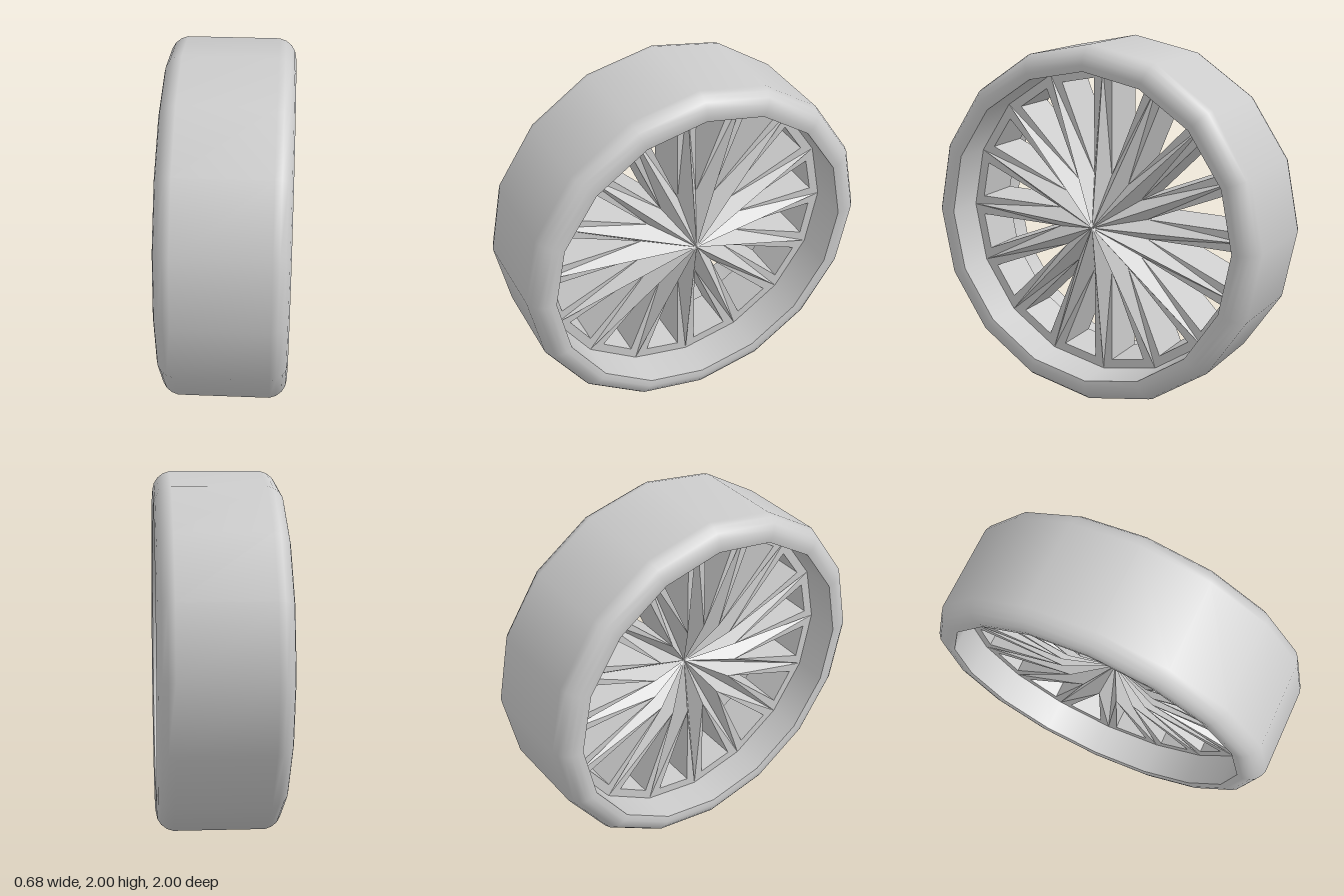
import * as THREE from 'three';

const SIDES = 16, STEP = (Math.PI * 2) / SIDES;
const RIM = 0.865;          // radius where the spokes meet the tyre
const INSET = 0.055;        // half width of a spoke
const OUTER = { x: 0.12, hub: 0.245 };   // raised hub
const INNER = { x: -0.15, hub: -0.045 }; // dished hub

// Turns a [radius, x] profile around the wheel axis
function ring(profile, material, name) {
  const geo = new THREE.LatheGeometry(profile.map(([r, x]) => new THREE.Vector2(r, x)), SIDES);
  geo.rotateZ(-Math.PI / 2);
  const mesh = new THREE.Mesh(geo, material);
  mesh.name = name;
  return mesh;
}

// Spokes: a disc with a triangular window in every sector and the hub point shifted along x
function spokeGeometry() {
  const pos = [];
  const face = (...p) => {
    for (let i = 1; i < p.length - 1; i++) pos.push(...p[0], ...p[i], ...p[i + 1]);
  };
  const half = STEP / 2;
  const along = (RIM * Math.cos(half) - 0.05 - INSET * Math.sin(half)) / Math.cos(half);
  const cornerR = Math.hypot(along, INSET), cornerA = Math.atan2(INSET, along);
  const at = (x, r, a) => [x, r * Math.cos(a), r * Math.sin(a)];

  for (let i = 0; i < SIDES; i++) {
    const a = i * STEP, b = a + STEP;
    // hub, two rim points, two outer window corners, window tip
    const sector = ({ x, hub }) => [
      [hub, 0, 0], at(x, RIM, a), at(x, RIM, b),
      at(x, cornerR, a + cornerA), at(x, cornerR, b - cornerA),
      at(x, INSET / Math.sin(half), a + half),
    ];
    const [H, A, B, P, Q, T] = sector(OUTER);
    const [H2, A2, B2, P2, Q2, T2] = sector(INNER);
    // +x side
    face(H, A, T);
    face(A, P, T);
    face(H, T, B);
    face(T, Q, B);
    face(A, B, Q, P);
    // -x side
    face(H2, T2, A2);
    face(A2, T2, P2);
    face(H2, B2, T2);
    face(T2, B2, Q2);
    face(A2, P2, Q2, B2);
    // window walls
    face(T, P, P2, T2);
    face(Q, T, T2, Q2);
    face(P, Q, Q2, P2);
  }
  const geo = new THREE.BufferGeometry();
  geo.setAttribute('position', new THREE.Float32BufferAttribute(pos, 3));
  geo.computeVertexNormals();
  return geo;
}

export function createModel() {
  const group = new THREE.Group();
  group.name = 'wheel';
  const smooth = new THREE.MeshStandardMaterial({ color: 0xcccccc });
  const flat = new THREE.MeshStandardMaterial({ color: 0xcccccc, flatShading: true });

  // Tyre with rounded shoulders
  const shoulder = [[1, 0.25], [0.988, 0.285], [0.965, 0.315], [0.935, 0.334], [0.9, 0.342], [RIM, 0.335]];
  const outer = [...shoulder.map(([r, x]) => [r, -x]).reverse(), ...shoulder];
  group.add(ring(outer, smooth, 'tyre'));
  group.add(ring([[RIM, 0.335], [RIM, -0.335]], smooth, 'innerBarrel'));

  const spokes = new THREE.Mesh(spokeGeometry(), flat);
  spokes.name = 'spokes';
  group.add(spokes);

  group.position.y = 1;
  const model = new THREE.Group();
  model.add(group);
  return model;
}
